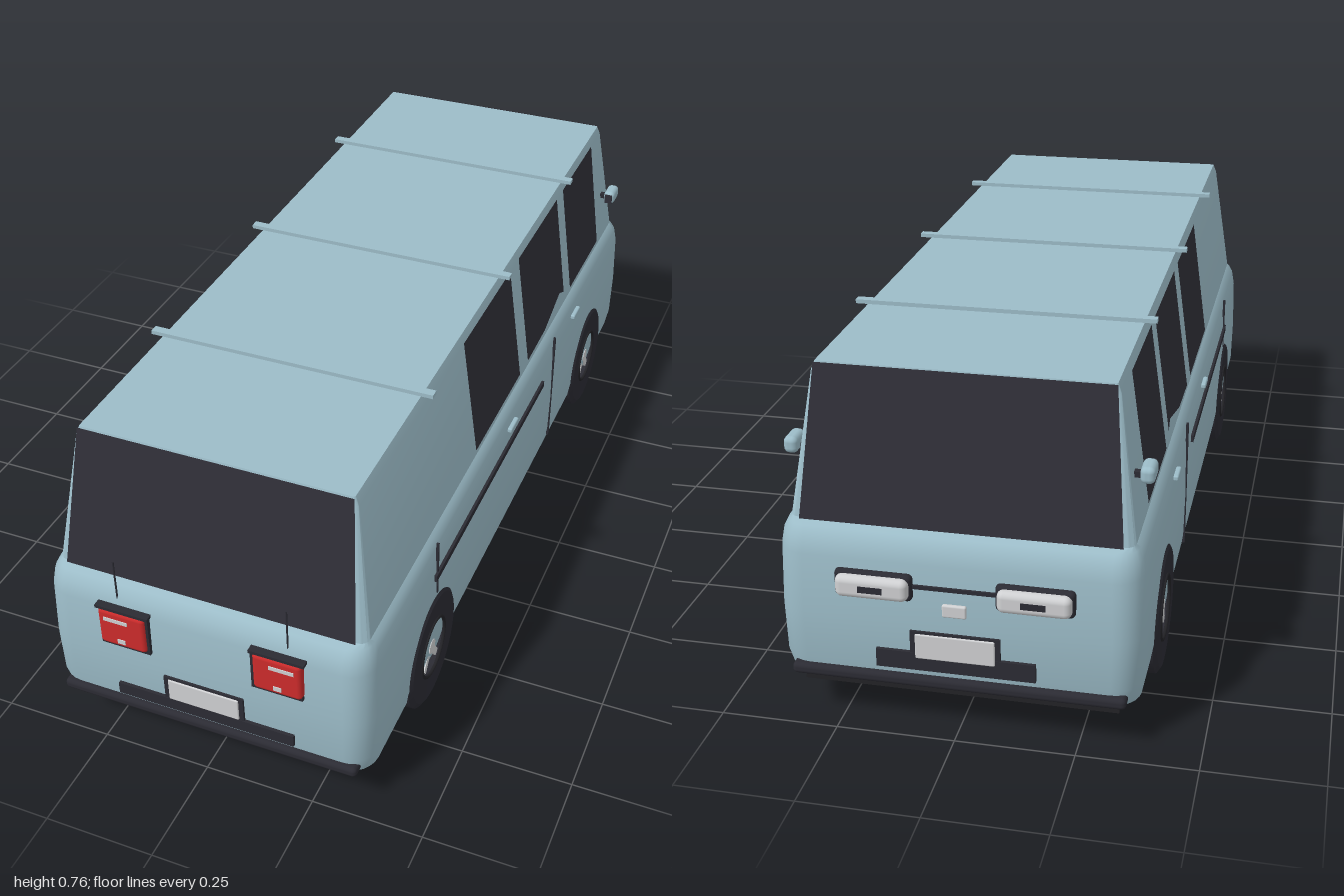
import * as THREE from 'three';
import { toCreasedNormals } from 'three/addons/utils/BufferGeometryUtils.js';
import { RoundedBoxGeometry } from 'three/addons/geometries/RoundedBoxGeometry.js';

export function createModel() {
  const van = new THREE.Group();
  van.name = 'van';
  const mat = (name, color, extra = {}) => {
    const m = new THREE.MeshStandardMaterial({ color, ...extra });
    m.name = name;
    return m;
  };
  const paint = mat('blue grey paint', 0x9cbcc8);
  const glass = mat('dark glass', 0x302f38, { side: THREE.DoubleSide });
  const trim = mat('dark trim', 0x2b2b33);
  const rubber = mat('black rubber', 0x222226);
  const red = mat('red lamp', 0xcc2b2b);
  const silver = mat('silver', 0xcfd0d2);

  const add = (name, geo, material, x = 0, y = 0, z = 0, parent = van) => {
    const mesh = new THREE.Mesh(geo, material);
    mesh.name = name;
    mesh.position.set(x, y, z);
    parent.add(mesh);
    return mesh;
  };
  const box = (name, w, h, d, material, x, y, z, parent) =>
    add(name, new THREE.BoxGeometry(w, h, d), material, x, y, z, parent);
  const rbox = (name, w, h, d, r, material, x, y, z, parent) =>
    add(name, new RoundedBoxGeometry(w, h, d, 3, r), material, x, y, z, parent);

  // Body shell: rounded rectangles lofted upwards [y, half width, z max, z min, corner radius]
  const sections = [
    [0.085, 0.345, 0.955, -0.94, 0.05],
    [0.1, 0.368, 0.975, -0.96, 0.06],
    [0.14, 0.375, 0.983, -0.97, 0.06],
    [0.25, 0.377, 0.985, -0.973, 0.06],
    [0.38, 0.374, 0.98, -0.968, 0.06],
    [0.415, 0.368, 0.972, -0.96, 0.055],
    [0.432, 0.36, 0.957, -0.945, 0.045],
    [0.44, 0.352, 0.938, -0.926, 0.02],
    [0.735, 0.311, 0.878, -0.868, 0.008],
    [0.755, 0.303, 0.873, -0.863, 0.004],
  ];
  const steps = 6;
  const ring = ([y, hx, zMax, zMin, r]) => {
    const points = [];
    const corners = [[hx - r, zMax - r], [-hx + r, zMax - r], [-hx + r, zMin + r], [hx - r, zMin + r]];
    corners.forEach(([cx, cz], c) => {
      for (let i = 0; i <= steps; i++) {
        const a = (c + i / steps) * Math.PI / 2;
        points.push([cx + r * Math.cos(a), y, cz + r * Math.sin(a)]);
      }
    });
    return points;
  };
  const rings = sections.map(ring);
  const n = rings[0].length;
  const index = [];
  for (let s = 0; s < rings.length - 1; s++) {
    for (let i = 0; i < n; i++) {
      const a = s * n + i, b = s * n + (i + 1) % n;
      index.push(a, a + n, b, b, a + n, b + n);
    }
  }
  const top = (rings.length - 1) * n;
  for (let i = 1; i < n - 1; i++) {
    index.push(0, i, i + 1);
    index.push(top, top + i + 1, top + i);
  }
  const shell = new THREE.BufferGeometry();
  shell.setAttribute('position', new THREE.Float32BufferAttribute(rings.flat(2), 3));
  shell.setIndex(index);
  add('bodyShell', toCreasedNormals(shell, 0.6), paint);
  box('underbody', 0.66, 0.012, 1.84, rubber, 0, 0.081, 0);

  // Glass lies on the sloping cabin walls
  const slope = (y, low, high) => low + (high - low) * (y - 0.44) / 0.295;
  const pane = (name, points, place) => {
    const geo = new THREE.ShapeGeometry(new THREE.Shape(points.map(p => new THREE.Vector2(...p))));
    const pos = geo.attributes.position;
    for (let i = 0; i < pos.count; i++) pos.setXYZ(i, ...place(pos.getX(i), pos.getY(i)));
    geo.computeVertexNormals();
    add(name, geo, glass);
  };
  const screen = [[-0.33, 0.438], [0.33, 0.438], [0.304, 0.754], [-0.304, 0.754]];
  pane('rearScreen', screen, (x, y) => [x, y, slope(y, 0.938, 0.878) + 0.004]);
  pane('windscreen', screen.map(([x, y]) => [-x, y]).map(([x, y]) => [x, y]),
    (x, y) => [-x, y, slope(y, -0.926, -0.868) - 0.004]);
  const sideWindows = [
    [[0.28, 0.457], [-0.05, 0.457], [-0.05, 0.742], [0.28, 0.742]],
    [[-0.115, 0.457], [-0.26, 0.46], [-0.4, 0.49], [-0.435, 0.475], [-0.435, 0.742], [-0.115, 0.742]],
    [[-0.49, 0.457], [-0.76, 0.457], [-0.76, 0.742], [-0.49, 0.742]],
  ];

  for (const s of [1, -1]) {
    const side = s > 0 ? 'left' : 'right';
    sideWindows.forEach(points => pane(side + 'SideWindow', points.map(([z, y]) => [-s * z, y]),
      (u, y) => [s * (slope(y, 0.352, 0.311) + 0.004), y, -s * u]));

    // Side trim, door seams and handles
    box(side + 'SideStripe', 0.008, 0.016, 0.795, trim, s * 0.377, 0.348, 0.212);
    box(side + 'DoorSeam', 0.006, 0.31, 0.005, trim, s * 0.376, 0.275, -0.28);
    box(side + 'RearSeam', 0.006, 0.14, 0.005, trim, s * 0.375, 0.365, 0.592);
    for (const z of [0.07, -0.475]) {
      rbox(side + 'DoorHandle', 0.012, 0.013, 0.055, 0.004, paint, s * 0.378, 0.392, z);
    }

    // Mirrors
    rbox(side + 'Mirror', 0.03, 0.036, 0.06, 0.012, paint, s * 0.364, 0.567, -0.84);
    box(side + 'MirrorArm', 0.04, 0.012, 0.015, trim, s * 0.34, 0.56, -0.84);
    box(side + 'MirrorGlass', 0.02, 0.024, 0.004, glass, s * 0.364, 0.567, -0.809);

    // Tail lamps with backing, reflectors and aerial
    box(side + 'LampBacking', 0.115, 0.104, 0.014, trim, s * 0.175, 0.339, 0.984);
    box(side + 'LampLip', 0.124, 0.007, 0.02, trim, s * 0.177, 0.389, 0.985);
    rbox(side + 'TailLamp', 0.11, 0.096, 0.026, 0.01, red, s * 0.178, 0.34, 0.985);
    box(side + 'UpperReflector', 0.056, 0.009, 0.004, silver, s * 0.19, 0.365, 0.998);
    box(side + 'LowerReflector', 0.018, 0.011, 0.004, silver, s * 0.18, 0.31, 0.998);
    add(side + 'Aerial', new THREE.CylinderGeometry(0.002, 0.002, 0.12, 8), trim, s * 0.195, 0.447, 0.972);

    // Headlamps
    rbox(side + 'HeadlampFrame', 0.16, 0.058, 0.024, 0.01, trim, s * 0.165, 0.33, -0.972);
    rbox(side + 'Headlamp', 0.15, 0.048, 0.036, 0.014, silver, s * 0.165, 0.33, -0.982);
    box(side + 'HeadlampBulb', 0.05, 0.014, 0.004, trim, s * 0.165, 0.33, -0.999);
  }

  // Both ends: number plate, trim bar and lower bumper
  for (const [end, z, d] of [['rear', 0.985, 1], ['front', -0.973, -1]]) {
    const rear = d > 0;
    box(end + 'PlateHolder', 0.186, 0.062, 0.01, trim, 0, 0.203, z);
    rbox(end + 'Plate', 0.165, 0.056, 0.008, 0.003, silver, 0, 0.201, z + d * 0.004);
    box(end + 'TrimBar', rear ? 0.414 : 0.33, rear ? 0.029 : 0.04, 0.012, trim, 0, rear ? 0.157 : 0.165, z);
    rbox(end + 'Bumper', 0.695, 0.025, 0.04, 0.01, trim, 0, 0.116, z - d * 0.012);
    box(end + 'LowerLip', 0.66, 0.014, 0.03, rubber, 0, 0.083, z - d * 0.04);
  }
  box('noseStrip', 0.18, 0.008, 0.006, trim, 0, 0.333, -0.972);
  rbox('noseBadge', 0.05, 0.028, 0.01, 0.004, silver, 0, 0.287, -0.974);

  // Roof bars
  for (const z of [-0.51, 0, 0.51]) box('roofBar', 0.66, 0.009, 0.02, paint, 0, 0.76, z);

  // Wheels on wide drums reaching right across
  for (const z of [0.615, -0.64]) {
    const drum = add('wheelDrum', new THREE.CylinderGeometry(0.15, 0.15, 0.65, 40), rubber, 0, 0.15, z);
    drum.rotation.z = Math.PI / 2;
    for (const s of [1, -1]) {
      const wheel = new THREE.Group();
      wheel.name = 'wheel';
      wheel.position.set(s * 0.379, 0.15, z);
      wheel.rotation.y = s * Math.PI / 2;
      van.add(wheel);
      const profile = [[0, -0.018], [0.066, -0.018], [0.07, 0], [0.13, 0.002], [0.143, -0.006], [0.146, -0.055]];
      const tyre = new THREE.LatheGeometry(profile.map(p => new THREE.Vector2(...p)).reverse(), 40);
      tyre.rotateX(Math.PI / 2);
      add('tyre', toCreasedNormals(tyre, 0.5), trim, 0, 0, 0, wheel);
      const rim = new THREE.TorusGeometry(0.071, 0.004, 8, 32);
      add('rim', rim, rubber, 0, 0, 0, wheel);
      for (let i = 0; i < 5; i++) {
        const a = Math.PI / 2 + i * Math.PI * 0.4;
        const spoke = box('spoke', 0.04, 0.017, 0.01, silver, 0.045 * Math.cos(a), 0.045 * Math.sin(a), -0.01, wheel);
        spoke.rotation.z = a;
      }
      const hub = add('hub', new THREE.CylinderGeometry(0.018, 0.018, 0.012, 16), silver, 0, 0, -0.008, wheel);
      hub.rotation.x = Math.PI / 2;
      box('brakeCaliper', 0.018, 0.035, 0.006, red, s * 0.045, 0.028, -0.012, wheel);
    }
  }
  return van;
}
